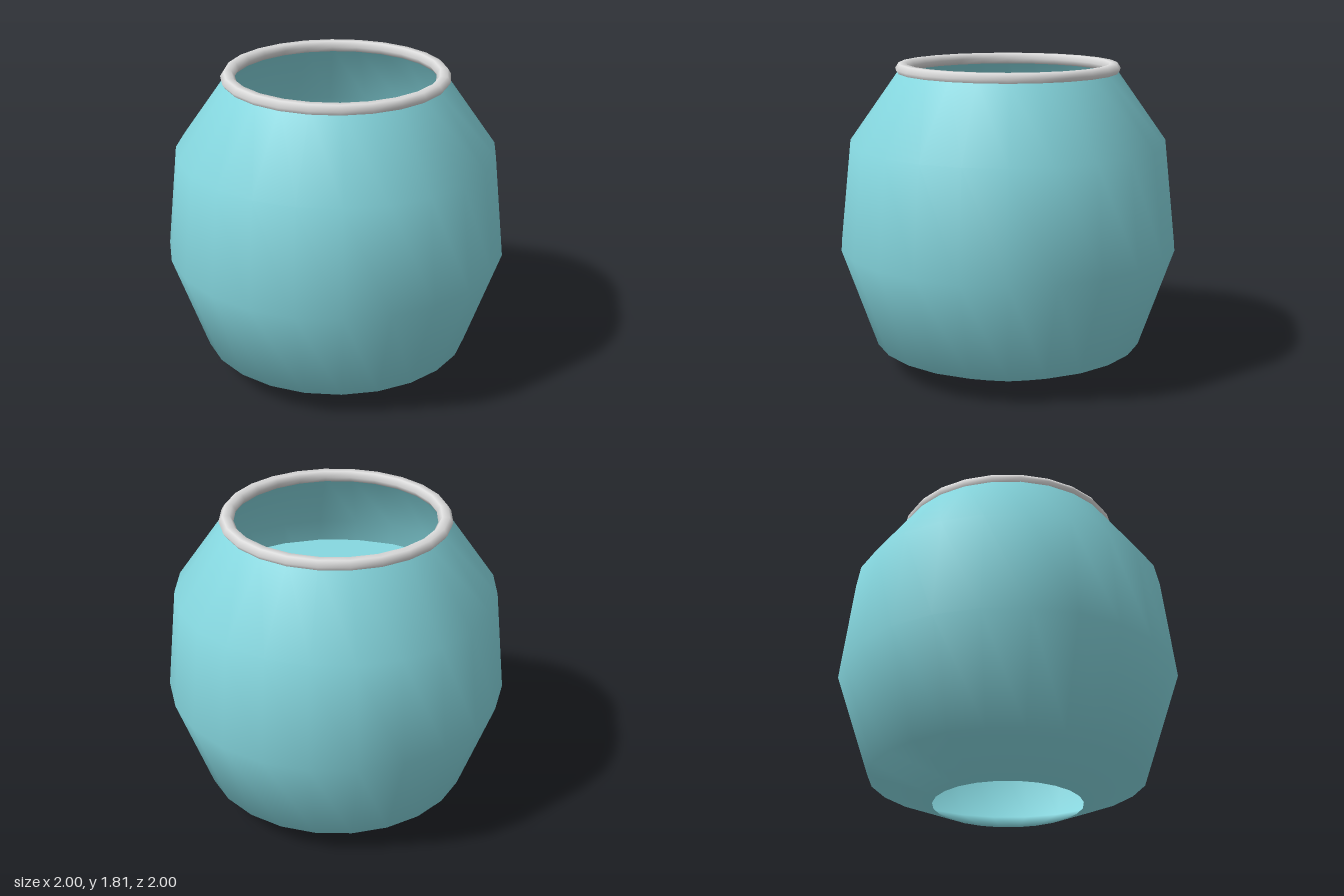
import * as THREE from 'three';

const SIDES = 24;

function mesh(name, geometry, material) {
  const m = new THREE.Mesh(geometry, material);
  m.name = name;
  return m;
}

export function createModel() {
  const glass = new THREE.MeshStandardMaterial({ color: 0x86d8e0, side: THREE.DoubleSide });
  glass.name = 'aqua glass';
  const silver = new THREE.MeshStandardMaterial({ color: 0xdcdcdc });
  silver.name = 'pale grey';

  const model = new THREE.Group();
  model.name = 'bowl';

  // Thin shell: down the inner wall, round the open foot, up the outer wall
  const inner = [[0.61, 1.76], [0.905, 1.34], [0.975, 0.74], [0.78, 0.17]];
  const outer = [[0.43, 0], [0.8, 0.15], [1, 0.74], [0.93, 1.35], [0.63, 1.77]];
  const profile = [...inner, ...outer].map(([r, y]) => new THREE.Vector2(r, y));
  model.add(mesh('bowlShell', new THREE.LatheGeometry(profile, SIDES), glass));

  // Flat water surface
  const water = mesh('waterSurface', new THREE.CircleGeometry(0.93, SIDES), glass);
  water.rotation.x = -Math.PI / 2;
  water.position.y = 1.2;
  model.add(water);

  // Rolled rim
  const rim = mesh('rim', new THREE.TorusGeometry(0.615, 0.042, 6, SIDES), silver);
  rim.rotation.x = Math.PI / 2;
  rim.scale.z = 0.88;
  rim.position.y = 1.773;
  model.add(rim);

  return model;
}
